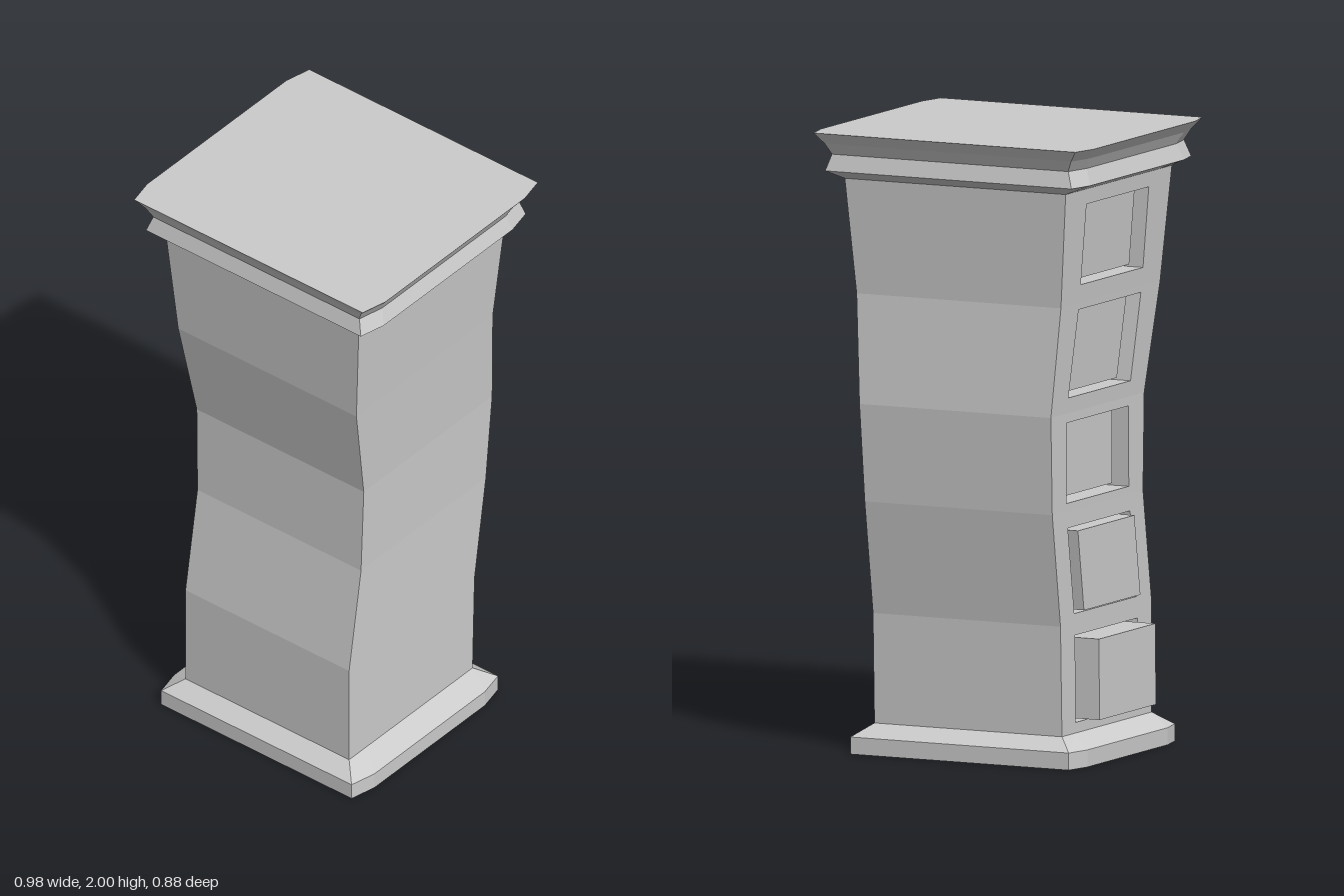
import * as THREE from 'three';

// Body stations: height, half width, front z, back z
const STATIONS = [
  [0.095, 0.335, 0.345, -0.275],
  [0.45, 0.335, 0.345, -0.285],
  [0.815, 0.335, 0.285, -0.342],
  [1.13, 0.342, 0.28, -0.365],
  [1.48, 0.365, 0.345, -0.34],
  [1.855, 0.395, 0.37, -0.365],
];

// Drawers: opening bottom, opening top, how far the face stands out of the carcass
const DRAWERS = [
  [0.13, 0.41, 0.075],
  [0.48, 0.76, 0.025],
  [0.84, 1.10, -0.05],
  [1.18, 1.46, -0.04],
  [1.54, 1.80, -0.04],
];
const RECESS = 0.12;
const OPENING = 0.215;

const material = new THREE.MeshStandardMaterial({ color: 0xcccccc, flatShading: true });

// Interpolated section of the wavy body
function section(y) {
  let i = 0;
  while (i < STATIONS.length - 2 && y > STATIONS[i + 1][0]) i++;
  const a = STATIONS[i], b = STATIONS[i + 1];
  const t = (y - a[0]) / (b[0] - a[0]);
  const [w, f, k] = [1, 2, 3].map((n) => a[n] + (b[n] - a[n]) * t);
  return { w, f, k, mid: (f + k) / 2 };
}

// Collects flat quads, corners counter-clockwise from outside
function quadBuilder() {
  const pos = [];
  return {
    quad(a, b, c, d) { pos.push(...a, ...b, ...c, ...a, ...c, ...d); },
    tri(a, b, c) { pos.push(...a, ...b, ...c); },
    mesh(name) {
      const g = new THREE.BufferGeometry();
      g.setAttribute('position', new THREE.Float32BufferAttribute(pos, 3));
      g.computeVertexNormals();
      const m = new THREE.Mesh(g, material);
      m.name = name;
      return m;
    },
  };
}

// Carcass with recessed openings on the -x side
function makeCarcass() {
  const q = quadBuilder();
  const levels = [...STATIONS.map((s) => s[0]), ...DRAWERS.flatMap((d) => [d[0], d[1]])].sort((a, b) => a - b);
  for (let i = 0; i < levels.length - 1; i++) {
    const y0 = levels[i], y1 = levels[i + 1];
    const s = section(y0), t = section(y1);
    q.quad([-s.w, y0, s.f], [s.w, y0, s.f], [t.w, y1, t.f], [-t.w, y1, t.f]);
    q.quad([s.w, y0, s.k], [-s.w, y0, s.k], [-t.w, y1, t.k], [t.w, y1, t.k]);
    q.quad([s.w, y0, s.f], [s.w, y0, s.k], [t.w, y1, t.k], [t.w, y1, t.f]);

    // Drawer side: strip between two z edges, optionally pushed inward
    const strip = (a0, b0, a1, b1, inset = 0) => q.quad(
      [-s.w + inset, y0, a0], [-s.w + inset, y0, b0], [-t.w + inset, y1, b1], [-t.w + inset, y1, a1]);
    const k0 = s.mid - OPENING, f0 = s.mid + OPENING;
    const k1 = t.mid - OPENING, f1 = t.mid + OPENING;
    const open = DRAWERS.some((d) => d[0] === y0);
    strip(s.k, k0, t.k, k1);
    strip(f0, s.f, f1, t.f);
    strip(k0, f0, k1, f1, open ? RECESS : 0);
    if (open) {
      const u = -s.w, v = -t.w, ui = u + RECESS, vi = v + RECESS;
      q.quad([u, y0, k0], [ui, y0, k0], [vi, y1, k1], [v, y1, k1]);
      q.quad([ui, y0, f0], [u, y0, f0], [v, y1, f1], [vi, y1, f1]);
      q.quad([u, y0, f0], [ui, y0, f0], [ui, y0, k0], [u, y0, k0]);
      q.quad([v, y1, k1], [vi, y1, k1], [vi, y1, f1], [v, y1, f1]);
    }
  }
  return q.mesh('carcass');
}

// Drawer block, sheared to follow the body
function makeDrawer([bottom, top, out], index) {
  const half = 0.195, gap = 0.01;
  const g = new THREE.BoxGeometry(1, 1, 1);
  const p = g.attributes.position;
  for (let i = 0; i < p.count; i++) {
    const y = p.getY(i) < 0 ? bottom + gap : top - gap;
    const s = section(y);
    const x = p.getX(i) < 0 ? -s.w - out : -s.w + RECESS;
    p.setXYZ(i, x, y, s.mid + Math.sign(p.getZ(i)) * half);
  }
  g.computeVertexNormals();
  const m = new THREE.Mesh(g, material);
  m.name = `drawer${index + 1}`;
  return m;
}

// Moulding lofted through rings: [y, half width, front z, back z, side bow]
function makeMoulding(name, rings) {
  const q = quadBuilder();
  const loops = rings.map(([y, w, f, k, bow]) => [
    [w - bow, y, f], [w, y, f - 0.09], [w, y, k + 0.09], [w - bow, y, k],
    [bow - w, y, k], [-w, y, k + 0.09], [-w, y, f - 0.09], [bow - w, y, f],
  ]);
  for (let i = 0; i < loops.length - 1; i++) {
    const a = loops[i], b = loops[i + 1];
    for (let j = 0; j < 8; j++) {
      const n = (j + 1) % 8;
      q.quad(a[j], a[n], b[n], b[j]);
    }
  }
  const lo = loops[0], hi = loops[loops.length - 1];
  for (let j = 1; j < 7; j++) {
    q.tri(lo[0], lo[j + 1], lo[j]);
    q.tri(hi[0], hi[j], hi[j + 1]);
  }
  return q.mesh(name);
}

export function createModel() {
  const model = new THREE.Group();
  model.name = 'wavyChestOfDrawers';
  model.add(makeCarcass());
  DRAWERS.forEach((d, i) => model.add(makeDrawer(d, i)));
  model.add(makeMoulding('basePlinth', [
    [0, 0.41, 0.4, -0.335, 0.02],
    [0.055, 0.41, 0.4, -0.335, 0.02],
    [0.096, 0.335, 0.345, -0.275, 0],
  ]));
  model.add(makeMoulding('topCornice', [
    [1.85, 0.395, 0.37, -0.365, 0],
    [1.877, 0.46, 0.415, -0.413, 0.02],
    [1.93, 0.442, 0.4, -0.4, 0.02],
    [1.965, 0.46, 0.416, -0.416, 0.02],
    [2, 0.488, 0.44, -0.44, 0.02],
  ]));
  return model;
}
